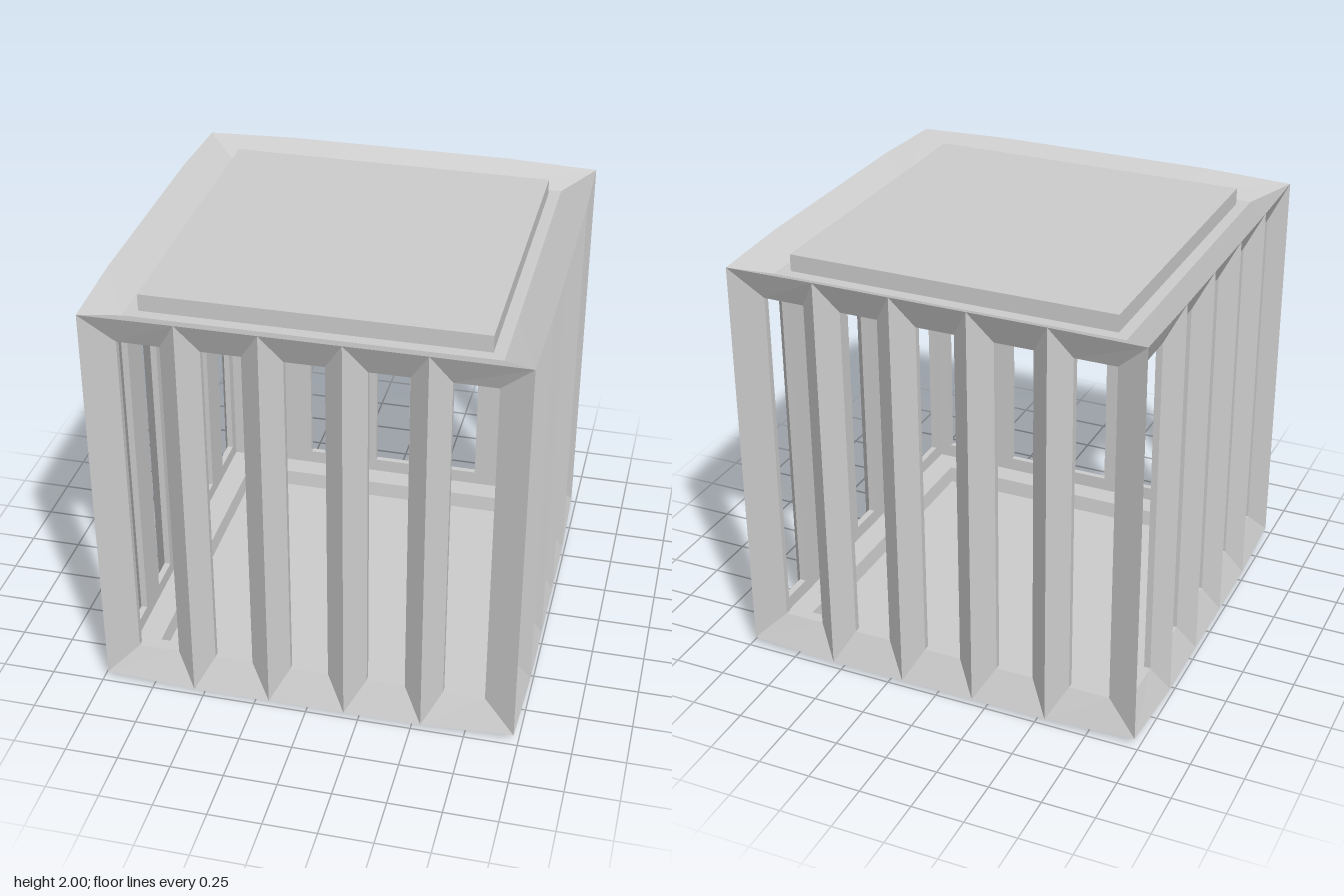
import * as THREE from 'three';

const metal = new THREE.MeshStandardMaterial({ color: 0xcccccc, side: THREE.DoubleSide, flatShading: true });
metal.name = 'plain grey';

// Slightly bowed outer rim: corner, four bar ridges, corner
const ridgeX = [-0.978, -0.545, -0.18, 0.18, 0.545, 0.978];
const isEnd = (i) => i === 0 || i === 5;
const rim = (i, top) => [
  ridgeX[i],
  top ? (isEnd(i) ? 1.982 : 1.992) : (isEnd(i) ? 0.037 : 0.022),
  isEnd(i) ? 0.978 : 0.99,
];

// Window openings between the bars
const openings = [[-0.83, -0.635], [-0.455, -0.275], [-0.09, 0.09], [0.275, 0.455], [0.635, 0.83]];
const sill = 0.18, lintel = 1.84, faceZ = 0.92, insideZ = 0.89;

function facets(list) {
  const pos = [];
  for (const [a, b, c, d] of list) {
    pos.push(...a, ...b, ...c);
    if (d) pos.push(...a, ...c, ...d);
  }
  const geo = new THREE.BufferGeometry();
  geo.setAttribute('position', new THREE.Float32BufferAttribute(pos, 3));
  geo.computeVertexNormals();
  return geo;
}

// Joins two equal loops of points with quads
function bridge(list, a, b) {
  a.forEach((p, i) => {
    const j = (i + 1) % a.length;
    list.push([p, a[j], b[j], b[i]]);
  });
}

// Bevelled bars of one wall, with the reveals of the windows
function barsGeometry() {
  const list = [];
  openings.forEach(([l, r], i) => {
    const outer = [rim(i, false), rim(i + 1, false), rim(i + 1, true), rim(i, true)];
    const hole = (z) => [[l, sill, z], [r, sill, z], [r, lintel, z], [l, lintel, z]];
    bridge(list, outer, hole(faceZ));
    bridge(list, hole(faceZ), hole(insideZ));
  });
  return facets(list);
}

// Flat inner side of one wall
function liningGeometry() {
  const rect = (P, l, r, b, t) => {
    const p = new P();
    p.moveTo(l, b); p.lineTo(r, b); p.lineTo(r, t); p.lineTo(l, t); p.closePath();
    return p;
  };
  const shape = rect(THREE.Shape, -insideZ, insideZ, 0.11, 1.89);
  for (const [l, r] of openings) shape.holes.push(rect(THREE.Path, l, r, sill, lintel));
  return new THREE.ShapeGeometry(shape).rotateY(Math.PI).translate(0, 0, insideZ);
}

// One quarter of a stepped square panel; rings are [half width, height]
function stepsGeometry(rings, flip) {
  const list = [];
  for (let k = 0; k + 1 < rings.length; k++) {
    const [r, y] = rings[k], [s, h] = rings[k + 1];
    const f = [[-r, y, r], [r, y, r], [s, h, s]];
    if (s > 0) f.push([-s, h, s]);
    list.push(flip ? f.reverse() : f);
  }
  return facets(list);
}

// Slope from the bowed rim into the recess of the lid or base
function slopeGeometry(top, y) {
  const list = [], inner = (i) => [ridgeX[i] * 0.83 / 0.978, y, 0.83];
  for (let i = 0; i < 5; i++) {
    const f = [rim(i, top), rim(i + 1, top), inner(i + 1), inner(i)];
    list.push(top ? f : f.reverse());
  }
  return facets(list);
}

export function createModel() {
  const model = new THREE.Group();
  model.name = 'cage';

  const parts = {
    bars: barsGeometry(),
    wallLining: liningGeometry(),
    lidSlope: slopeGeometry(true, 1.92),
    lidPlate: stepsGeometry([[0.83, 1.92], [0.775, 1.92], [0.775, 2], [0, 2]], false),
    ceiling: stepsGeometry([[insideZ, 1.89], [0.745, 1.89], [0.745, 1.97], [0, 1.97]], true),
    baseSlope: slopeGeometry(false, 0.08),
    basePlate: stepsGeometry([[0.83, 0.08], [0.81, 0.08], [0.79, 0], [0, 0]], true),
    floor: stepsGeometry([[insideZ, 0.11], [0.775, 0.11], [0.765, 0.03], [0, 0.03]], false),
  };

  // Four identical sides
  ['front', 'left', 'back', 'right'].forEach((side, i) => {
    const group = new THREE.Group();
    group.name = side + 'Side';
    group.rotation.y = i * Math.PI / 2;
    for (const [name, geo] of Object.entries(parts)) {
      const mesh = new THREE.Mesh(geo, metal);
      mesh.name = name;
      group.add(mesh);
    }
    model.add(group);
  });
  return model;
}
